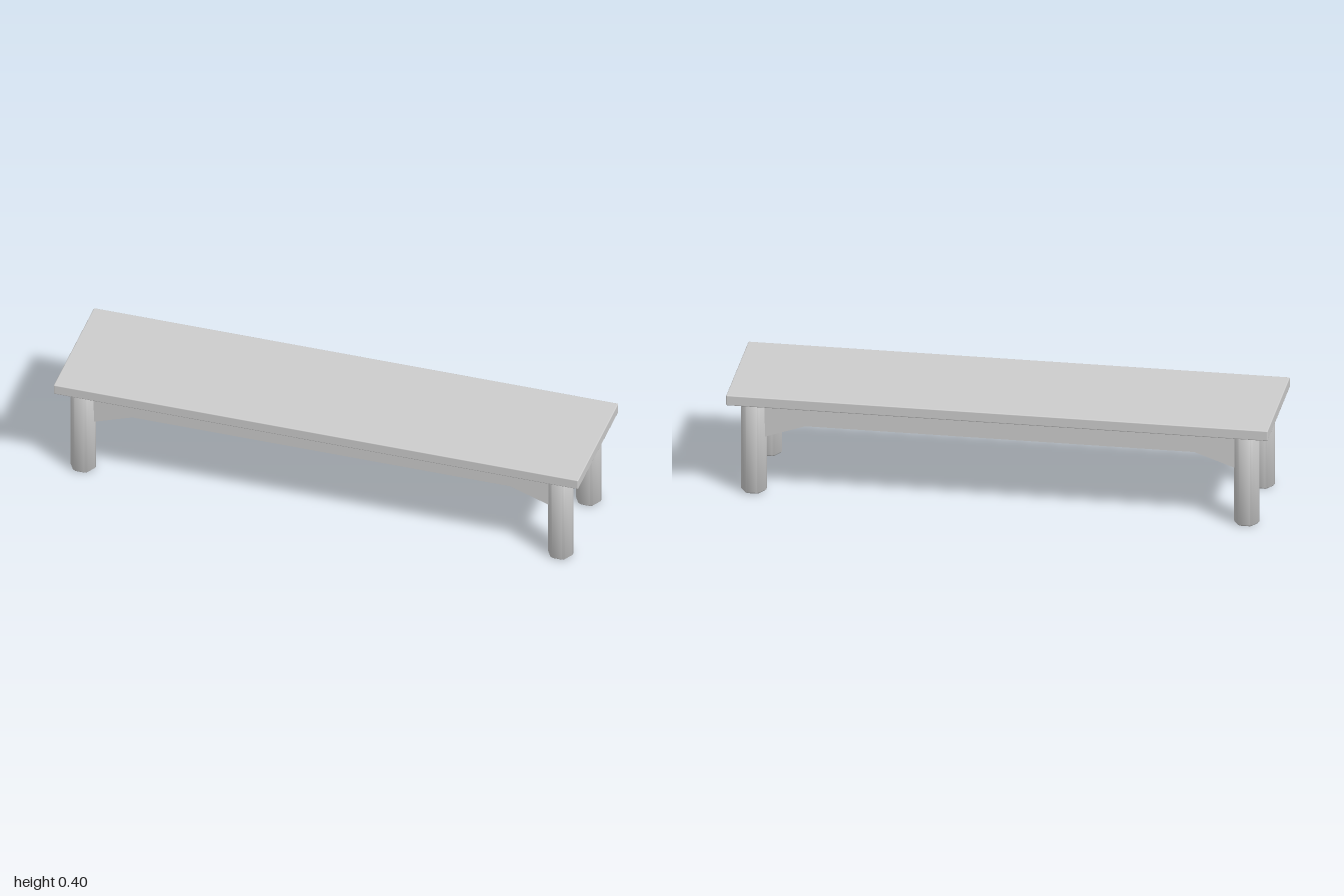
import * as THREE from 'three';
import { toCreasedNormals } from 'three/addons/utils/BufferGeometryUtils.js';
import { RoundedBoxGeometry } from 'three/addons/geometries/RoundedBoxGeometry.js';

const LEG_X = 0.91, LEG_Z = 0.173, SEAT_UNDERSIDE = 0.36;

// Six-sided post with softened corners and chamfered ends
function legGeometry() {
  const bevel = 0.006, r = 0.05 - bevel / Math.cos(Math.PI / 6), cut = 0.1;
  const corner = i => new THREE.Vector2(Math.cos(i * Math.PI / 3), Math.sin(i * Math.PI / 3)).multiplyScalar(r);
  const points = [];
  for (let i = 0; i < 6; i++) {
    points.push(corner(i).lerp(corner(i - 1), cut), corner(i).lerp(corner(i + 1), cut));
  }
  const g = new THREE.ExtrudeGeometry(new THREE.Shape(points), {
    depth: SEAT_UNDERSIDE - 2 * bevel, bevelEnabled: true,
    bevelSize: bevel, bevelThickness: bevel, bevelSegments: 1,
  });
  g.translate(0, 0, bevel);
  g.rotateX(-Math.PI / 2);
  return toCreasedNormals(g, 0.9);
}

// Triangular plate under a rail, tapering from the leg toward the middle
function braceGeometry(side, thickness) {
  const shape = new THREE.Shape([
    new THREE.Vector2(side * 0.87, 0.272),
    new THREE.Vector2(side * 0.71, 0.272),
    new THREE.Vector2(side * 0.87, 0.216),
  ]);
  const g = new THREE.ExtrudeGeometry(shape, { depth: thickness, bevelEnabled: false });
  return g.translate(0, 0, -thickness / 2);
}

export function createModel() {
  const group = new THREE.Group();
  group.name = 'bench';
  const grey = new THREE.MeshStandardMaterial({ color: 0xcccccc });
  grey.name = 'plain grey';

  const add = (name, geometry, x, y, z) => {
    const mesh = new THREE.Mesh(geometry, grey);
    mesh.name = name;
    mesh.position.set(x, y, z);
    group.add(mesh);
  };

  // Seat board
  add('seat', new RoundedBoxGeometry(2, 0.04, 0.5, 2, 0.004), 0, 0.38, 0);

  // Rails between the legs
  const leg = legGeometry();
  const railHeight = 0.09, railY = SEAT_UNDERSIDE - railHeight / 2;
  const longRail = new THREE.BoxGeometry(2 * LEG_X - 0.05, railHeight, 0.026);
  const endRail = new THREE.BoxGeometry(0.026, railHeight, 2 * LEG_Z - 0.05);
  for (const s of [-1, 1]) {
    add(s > 0 ? 'frontRail' : 'backRail', longRail, 0, railY, s * LEG_Z);
    add(s > 0 ? 'leftEndRail' : 'rightEndRail', endRail, s * LEG_X, railY, 0);
  }

  // Legs and their braces
  for (const sx of [-1, 1]) {
    for (const sz of [-1, 1]) {
      const place = (sz > 0 ? 'front' : 'back') + (sx > 0 ? 'Left' : 'Right');
      add(place + 'Leg', leg, sx * LEG_X, 0, sz * LEG_Z);
      add(place + 'Brace', braceGeometry(sx, 0.022), 0, 0, sz * LEG_Z);
    }
  }
  return group;
}
